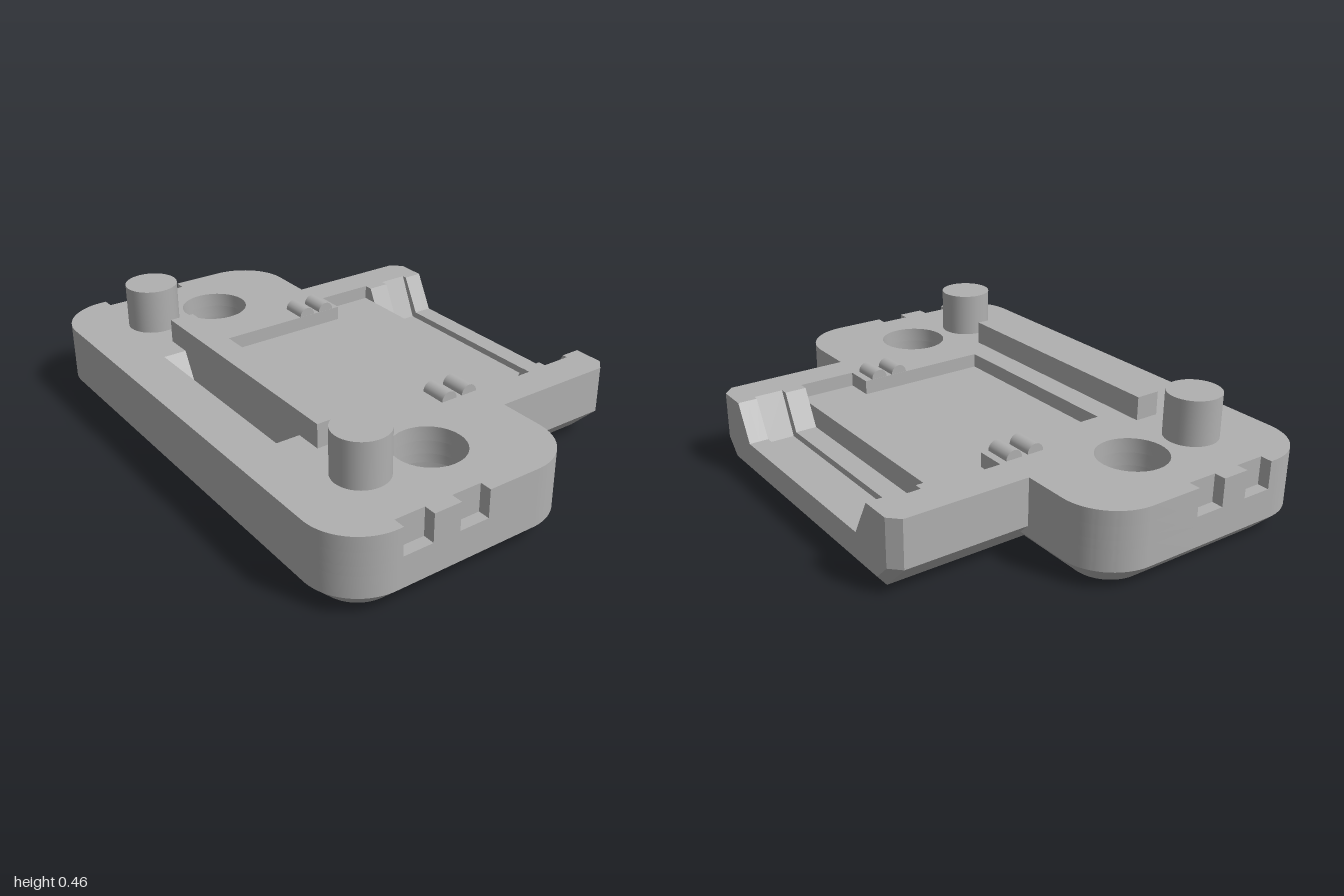
import * as THREE from 'three';
import { toCreasedNormals } from 'three/addons/utils/BufferGeometryUtils.js';

const TOP = 0.29, FLOOR = 0.235;
const R = 0.2, CHAMFER = 0.07;          // plate corner radius, bottom edge chamfer
const BACK = -0.22, FRONT = 0.735;      // plate extent in z
const HOLE_X = 0.695, HOLE_Z = 0.17;

export function createModel() {
  const group = new THREE.Group();
  const grey = new THREE.MeshStandardMaterial({ color: 0xb0b0b0 });
  grey.name = 'plain grey';

  const add = (name, geo, x = 0, y = 0, z = 0) => {
    const mesh = new THREE.Mesh(geo, grey);
    mesh.name = name;
    mesh.position.set(x, y, z);
    group.add(mesh);
    return mesh;
  };

  // Move every vertex by a rule, then rebuild normals with sharp creases
  const reshape = (geo, rule) => {
    const p = geo.attributes.position;
    const v = new THREE.Vector3();
    for (let i = 0; i < p.count; i++) {
      v.fromBufferAttribute(p, i);
      rule(v);
      p.setXYZ(i, v.x, v.y, v.z);
    }
    return toCreasedNormals(geo, 0.5);
  };

  // Plate outline in (x, -z), with optional side notches and rear pocket
  const outline = (notched, pocket) => {
    const s = new THREE.Shape();
    const f = -FRONT, b = -BACK;
    const notches = [[-0.515, -0.4], [-0.295, -0.18]];
    s.moveTo(-1 + R, f);
    s.lineTo(1 - R, f);
    s.absarc(1 - R, f + R, R, -Math.PI / 2, 0, false);
    if (notched) for (const [a, c] of notches) {
      s.lineTo(1, a); s.lineTo(0.955, a); s.lineTo(0.955, c); s.lineTo(1, c);
    }
    s.lineTo(1, b - R);
    s.absarc(1 - R, b - R, R, 0, Math.PI / 2, false);
    if (pocket) {
      s.lineTo(0.39, b); s.lineTo(0.39, -0.28); s.lineTo(-0.39, -0.28); s.lineTo(-0.39, b);
    }
    s.lineTo(-1 + R, b);
    s.absarc(-1 + R, b - R, R, Math.PI / 2, Math.PI, false);
    if (notched) for (const [a, c] of [...notches].reverse()) {
      s.lineTo(-1, c); s.lineTo(-0.955, c); s.lineTo(-0.955, a); s.lineTo(-1, a);
    }
    s.lineTo(-1, f + R);
    s.absarc(-1 + R, f + R, R, Math.PI, Math.PI * 1.5, false);
    return s;
  };

  // Plate built from stacked layers: [y0, y1, hole radius, side notches, pocket]
  const layers = [
    [0, 0.07, 0.22, false, false],
    [0.07, 0.15, 0.22, false, false],
    [0.15, 0.185, 0.13, false, false],
    [0.185, FLOOR, 0.13, true, false],
    [FLOOR, TOP, 0.13, true, true],
  ];
  for (const [y0, y1, radius, notched, pocket] of layers) {
    const shape = outline(notched, pocket);
    for (const side of [-1, 1]) {
      shape.holes.push(new THREE.Path().absarc(side * HOLE_X, -HOLE_Z, radius, 0, Math.PI * 2, true));
    }
    const slot = new THREE.Path();
    slot.moveTo(-0.39, -0.56);
    slot.lineTo(-0.39, -0.47);
    slot.lineTo(0.39, -0.47);
    slot.lineTo(0.39, -0.56);
    slot.closePath();
    shape.holes.push(slot);

    const geo = new THREE.ExtrudeGeometry(shape, { depth: y1 - y0, bevelEnabled: false, curveSegments: 16 });
    geo.rotateX(-Math.PI / 2).translate(0, y0, 0);
    add('basePlate', reshape(geo, (v) => {
      // slot ends slope inward towards the bottom
      if (Math.abs(v.x) < 0.4 && v.z > 0.46 && v.z < 0.57) {
        v.x = Math.sign(v.x) * (0.235 + 0.155 * v.y / TOP);
      } else if (v.y < 0.001 && Math.hypot(Math.abs(v.x) - HOLE_X, v.z - HOLE_Z) > 0.23) {
        // chamfered lower rim
        const cx = THREE.MathUtils.clamp(v.x, -1 + R, 1 - R);
        const cz = THREE.MathUtils.clamp(v.z, BACK + R, FRONT - R);
        const k = (R - CHAMFER) / R;
        v.x = cx + (v.x - cx) * k;
        v.z = cz + (v.z - cz) * k;
      }
    }));
  }

  // Rear tongue: cross-sections run along z: [z0, z1, notch half-width at top, at floor, floor y]
  const sections = [
    [-0.74, -0.70, 0.475, 0.4, 0.15],
    [-0.70, -0.665, 0.475, 0.4, 0.15],
    [-0.665, -0.55, 0.495, 0.42, 0.125],
    [-0.55, -0.465, 0.465, 0.395, 0.15],
    [-0.465, -0.24, 0.5, 0.5, FLOOR],
    [-0.24, -0.15, 0.39, 0.39, FLOOR],
  ];
  for (const [z0, z1, wTop, wFloor, y] of sections) {
    const half = [[0.52, 0], [0.63, 0.11], [0.63, TOP], [wTop, TOP], [wFloor, y]];
    const mirrored = half.map(([px, py]) => [-px, py]).reverse();
    const shape = new THREE.Shape([...half, ...mirrored].map(([px, py]) => new THREE.Vector2(px, py)));
    const geo = new THREE.ExtrudeGeometry(shape, { depth: z1 - z0, bevelEnabled: false });
    geo.translate(0, 0, z0);
    add('rearTongue', reshape(geo, (v) => {
      // cut the rear corners and lower rear edge
      if (v.z > -0.739) return;
      if (Math.abs(v.x) > 0.6) v.x = Math.sign(v.x) * 0.59;
      if (v.y < 0.001) { v.x = Math.sign(v.x) * 0.53; v.y = 0.05; }
    }));
  }

  // Raised bar in front of the pocket
  add('frontBar', new THREE.BoxGeometry(0.99, 0.1, 0.095), 0, 0.33, 0.4225);

  // Pegs and small rounded ribs on both sides
  for (const side of [-1, 1]) {
    add('peg', new THREE.CylinderGeometry(0.1, 0.1, 0.18, 40), side * HOLE_X, 0.37, 0.445);
    for (const z of [-0.178, -0.088]) {
      const rib = new THREE.CylinderGeometry(0.033, 0.033, 0.103, 20);
      rib.rotateZ(Math.PI / 2);
      add('gripRib', rib, side * 0.4425, TOP, z);
    }
  }
  return group;
}
